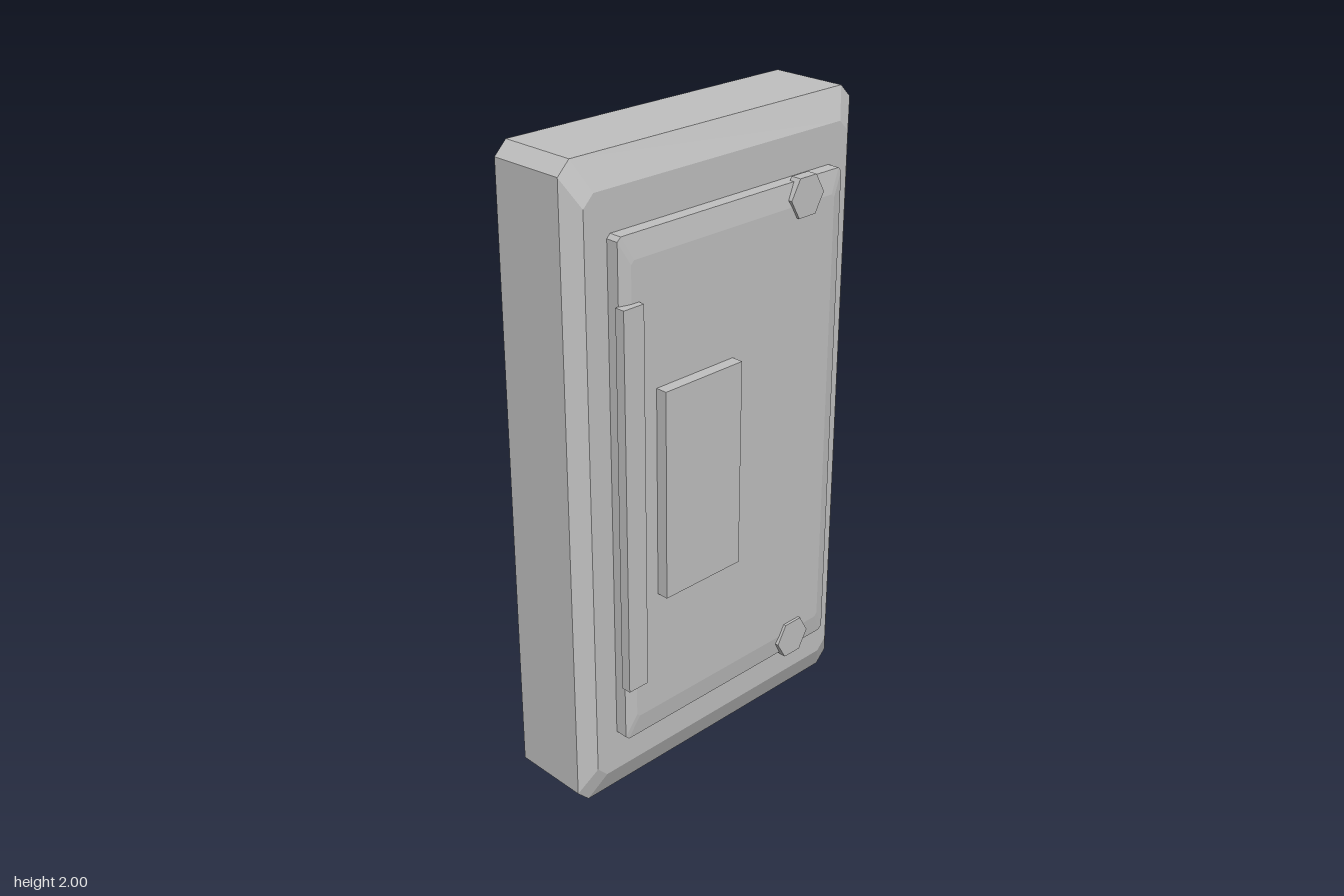
import * as THREE from 'three';
import { ConvexGeometry } from 'three/addons/geometries/ConvexGeometry.js';

const grey = new THREE.MeshStandardMaterial({ color: 0xbfbfbf });
grey.name = 'grey';

// Rectangle with cut corners, centred on (cx, cy), at depth z
function ring(cx, cy, hx, hy, cut, z) {
  const points = [];
  for (const sx of [-1, 1]) for (const sy of [-1, 1]) {
    points.push(new THREE.Vector3(cx + sx * hx, cy + sy * (hy - cut), z));
    points.push(new THREE.Vector3(cx + sx * (hx - cut), cy + sy * hy, z));
  }
  return points;
}

export function createModel() {
  const model = new THREE.Group();
  const add = (name, geometry) => {
    const mesh = new THREE.Mesh(geometry, grey);
    mesh.name = name;
    model.add(mesh);
    return mesh;
  };
  // Plain block given by its extents
  const block = (name, x0, x1, y0, y1, z0, z1) =>
    add(name, new THREE.BoxGeometry(x1 - x0, y1 - y0, z1 - z0))
      .position.set((x0 + x1) / 2, (y0 + y1) / 2, (z0 + z1) / 2);

  // Cabinet body, bevelled at front and back
  add('body', new ConvexGeometry([
    ...ring(0, 1, 0.512, 0.91, 0.036, -0.157),
    ...ring(0, 1, 0.56, 1, 0.04, -0.119),
    ...ring(0, 1, 0.56, 1, 0.04, 0.131),
    ...ring(0, 1, 0.512, 0.91, 0.036, 0.17),
  ]));

  // Door with a shallow bevelled front
  add('door', new ConvexGeometry([
    ...ring(0.004, 1.002, 0.438, 0.788, 0.012, 0.16),
    ...ring(0.004, 1.002, 0.438, 0.788, 0.012, 0.21),
    ...ring(0.004, 1.002, 0.4, 0.718, 0.011, 0.22),
  ]));

  block('hinge', -0.443, -0.37, 0.405, 1.6, 0.208, 0.24);
  block('labelPlate', -0.308, -0.01, 0.675, 1.33, 0.21, 0.257);
  block('rearBlock', 0.191, 0.449, 0.35, 1.655, -0.261, -0.15);

  // Hexagonal bolts at the door corners
  for (const [name, y] of [['upperBolt', 1.742], ['lowerBolt', 0.261]]) {
    const hex = new THREE.CylinderGeometry(0.068, 0.068, 0.034, 6).toNonIndexed();
    hex.rotateY(Math.PI / 6 + Math.PI / 3);
    hex.rotateX(Math.PI / 2);
    hex.computeVertexNormals();
    add(name, hex).position.set(0.279, y, 0.212);
  }
  return model;
}
